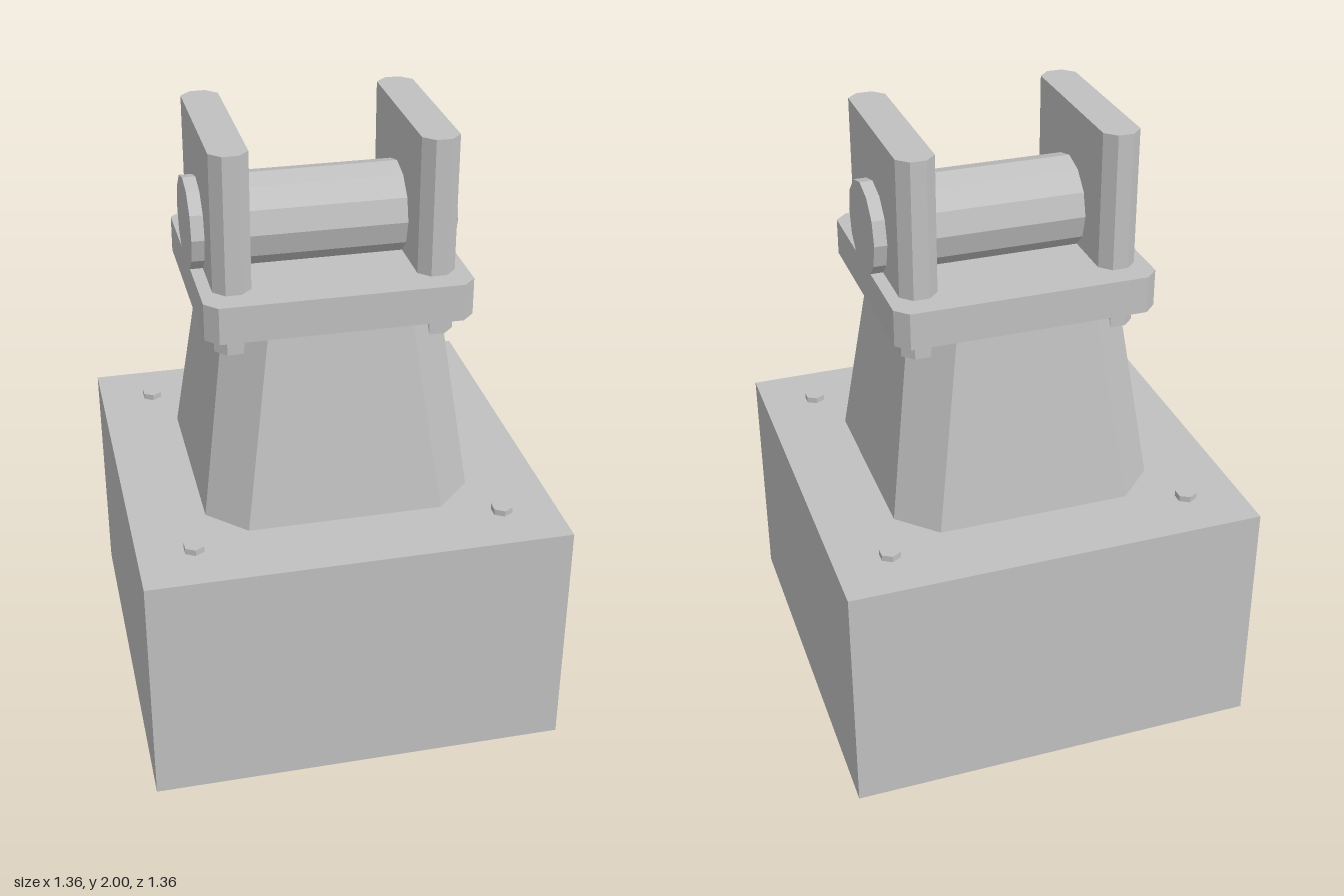
import * as THREE from 'three';

// Rectangle with cut corners, extruded upward from y0 to y1; topInset tapers the upper end
function chamferedPrism(halfX, halfZ, cut, y0, y1, topInset = 0) {
  const ring = [
    [halfX, -halfZ + cut], [halfX, halfZ - cut],
    [halfX - cut, halfZ], [-halfX + cut, halfZ],
    [-halfX, halfZ - cut], [-halfX, -halfZ + cut],
    [-halfX + cut, -halfZ], [halfX - cut, -halfZ],
  ];
  const shape = new THREE.Shape(ring.map(([x, z]) => new THREE.Vector2(x, -z)));
  const geometry = new THREE.ExtrudeGeometry(shape, { depth: y1 - y0, bevelEnabled: false });
  geometry.rotateX(-Math.PI / 2).translate(0, y0, 0);
  if (topInset) {
    const p = geometry.attributes.position;
    for (let i = 0; i < p.count; i++) {
      if (p.getY(i) < (y0 + y1) / 2) continue;
      p.setX(i, p.getX(i) - Math.sign(p.getX(i)) * topInset);
      p.setZ(i, p.getZ(i) - Math.sign(p.getZ(i)) * topInset);
    }
    geometry.computeVertexNormals();
  }
  return geometry;
}

export function createModel() {
  const model = new THREE.Group();
  const grey = new THREE.MeshStandardMaterial({ color: 0xc0c0c0 });
  grey.name = 'light grey';
  grey.flatShading = true;

  const add = (name, geometry, x = 0, y = 0, z = 0) => {
    const mesh = new THREE.Mesh(geometry, grey);
    mesh.name = name;
    mesh.position.set(x, y, z);
    model.add(mesh);
    return mesh;
  };

  // Foundation block
  add('baseBlock', new THREE.BoxGeometry(1.36, 0.8, 1.36), 0, 0.4, 0);

  // Tapered pedestal and the plate it carries
  add('pedestal', chamferedPrism(0.435, 0.435, 0.12, 0.8, 1.45, 0.09));
  add('topPlate', chamferedPrism(0.42, 0.38, 0.04, 1.44, 1.56));

  // Upright lugs passing through the plate
  const lug = chamferedPrism(0.06, 0.3, 0.035, 1.36, 2);
  for (const side of [-1, 1]) {
    add(side > 0 ? 'leftLug' : 'rightLug', lug, side * 0.32);
  }

  // Cross pin
  const pin = new THREE.CylinderGeometry(0.15, 0.15, 0.842, 12).rotateZ(Math.PI / 2);
  add('pin', pin, 0, 1.68, 0);

  // Hexagonal anchor bolts
  const bolt = new THREE.CylinderGeometry(0.035, 0.035, 0.04, 6);
  for (const x of [-0.5, 0.5]) {
    for (const z of [-0.5, 0.5]) add('anchorBolt', bolt, x, 0.8, z);
  }
  return model;
}
